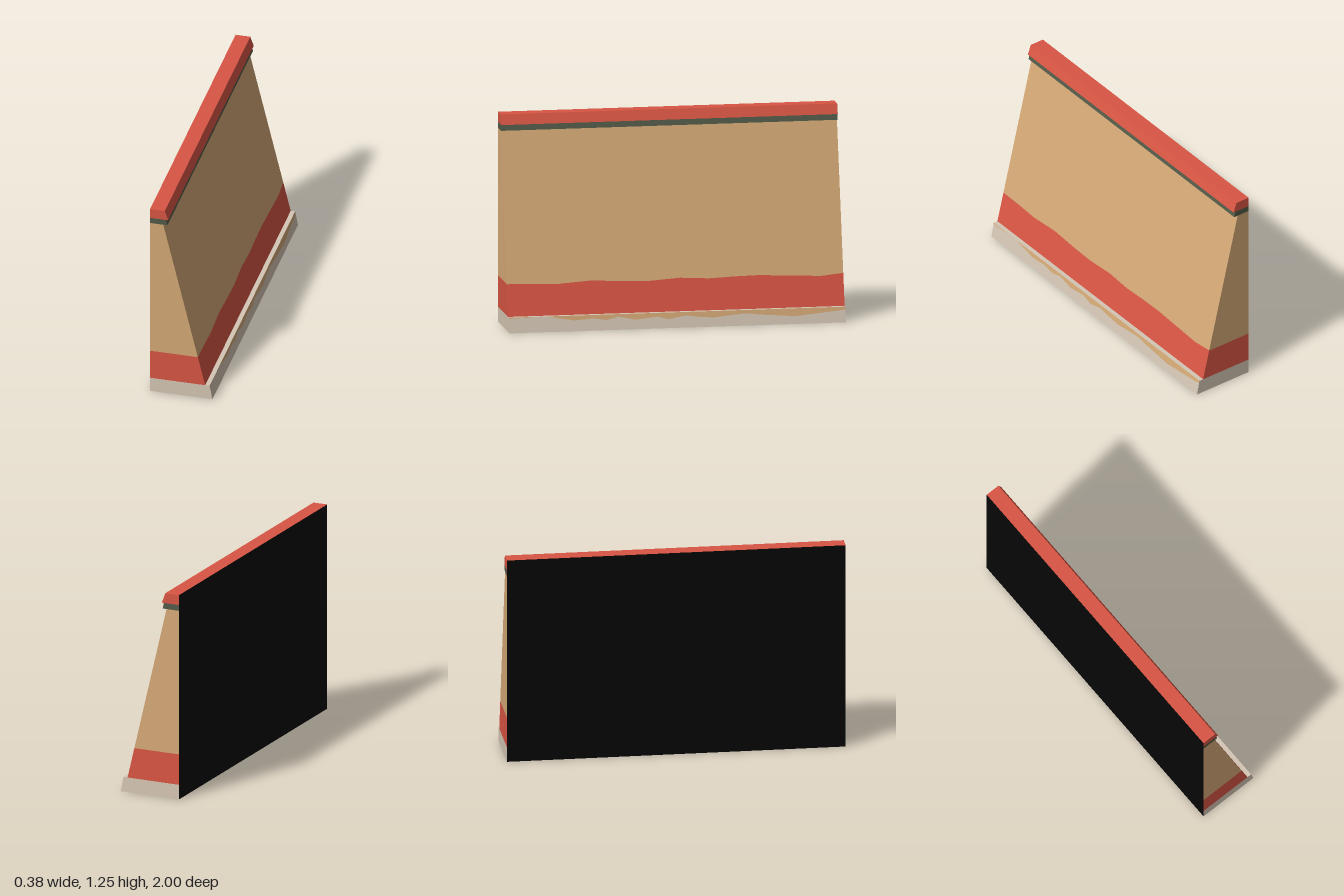
import * as THREE from 'three';

const paint = (name, color) => {
  const m = new THREE.MeshStandardMaterial({ color });
  m.name = name;
  return m;
};

const BACK = -0.19;
// heights of the uneven paint edges as [z, y], running from front to back
const RED_EDGE = [[1, 0.276], [0.85, 0.274], [0.7, 0.268], [0.5, 0.282], [0.3, 0.272], [0.15, 0.269],
  [-0.03, 0.281], [-0.2, 0.272], [-0.35, 0.278], [-0.5, 0.281], [-0.7, 0.272], [-0.87, 0.265], [-1, 0.278]];
const CHIPPED_EDGE = [[1, 0.083], [0.9, 0.086], [0.84, 0.089], [0.78, 0.09], [0.7, 0.076], [0.61, 0.062], [0.5, 0.07], [0.42, 0.059],
  [0.35, 0.076], [0.25, 0.055], [0.12, 0.068], [0.05, 0.051], [-0.05, 0.07], [-0.13, 0.059], [-0.22, 0.053],
  [-0.4, 0.071], [-0.5, 0.06], [-0.57, 0.055], [-0.7, 0.045], [-0.8, 0.055], [-0.95, 0.068], [-1, 0.075]];

export function createModel() {
  const tan = paint('tan plaster', 0xd6aa77);
  const red = paint('red paint', 0xd95644);
  const stone = paint('pale stone', 0xd6c7b5);
  const green = paint('dark green trim', 0x535b48);
  const black = paint('black backing', 0x060606);
  const model = new THREE.Group();
  model.name = 'wallSection';

  // flat-faced surface between a lower and an upper row of points, left to right
  function strip(parent, name, material, lower, upper) {
    const pos = [];
    for (let i = 0; i + 1 < lower.length; i++) {
      const [a, b, c, d] = [lower[i], lower[i + 1], upper[i + 1], upper[i]];
      pos.push(...a, ...b, ...c, ...a, ...c, ...d);
    }
    const geo = new THREE.BufferGeometry();
    geo.setAttribute('position', new THREE.Float32BufferAttribute(pos, 3));
    geo.computeVertexNormals();
    const mesh = new THREE.Mesh(geo, material);
    mesh.name = name;
    parent.add(mesh);
  }
  const run = ([x, y]) => [[x, y, 1], [x, y, -1]];

  // one horizontal course: ends, black back, and the faces asked for
  function course(name, material, y0, x0, y1, x1, { face = true, top = false, under = null } = {}) {
    const g = new THREE.Group();
    g.name = name;
    model.add(g);
    strip(g, name + 'FrontEnd', material, [[BACK, y0, 1], [x0, y0, 1]], [[BACK, y1, 1], [x1, y1, 1]]);
    strip(g, name + 'RearEnd', material, [[x0, y0, -1], [BACK, y0, -1]], [[x1, y1, -1], [BACK, y1, -1]]);
    strip(g, name + 'Back', black, run([BACK, y1]), run([BACK, y0]));
    if (face) strip(g, name + 'Face', material, run([x0, y0]), run([x1, y1]));
    if (top) strip(g, name + 'Top', material, run([x1, y1]), run([BACK, y1]));
    if (under) strip(g, name + 'Underside', under, run([BACK, y0]), run([x0, y0]));
    return g;
  }

  // split a sloping face along an uneven edge into two colours
  function splitFace(lowGroup, highGroup, lowMat, highMat, edge, slope, y0, y1) {
    const row = (f) => edge.map(([z, y]) => [slope(f(y)), f(y), z]);
    strip(lowGroup, 'lowerFace', lowMat, row(() => y0), row((y) => y));
    strip(highGroup, 'upperFace', highMat, row((y) => y), row(() => y1));
  }

  // stone plinth with chipped upper edge
  const plinthX = (y) => 0.187 - 0.19 * y;
  const plinth = course('plinth', stone, 0, plinthX(0), 0.09, plinthX(0.09),
    { face: false, top: true, under: black });
  splitFace(plinth, plinth, stone, tan, CHIPPED_EDGE, plinthX, 0, 0.09);

  // battered wall, red below and tan above
  const wallX = (y) => 0.143 - 0.2375 * (y - 0.09);
  const redBand = course('redBand', red, 0.09, wallX(0.09), 0.276, wallX(0.276), { face: false });
  const wall = course('wall', tan, 0.276, wallX(0.276), 1.155, wallX(1.155), { face: false });
  splitFace(redBand, wall, red, tan, RED_EDGE, wallX, 0.09, 1.155);

  // green moulding and red coping
  course('moulding', green, 1.155, -0.085, 1.19, -0.093, { under: green });
  course('coping', red, 1.19, -0.08, 1.25, -0.101, { top: true, under: red });
  return model;
}
